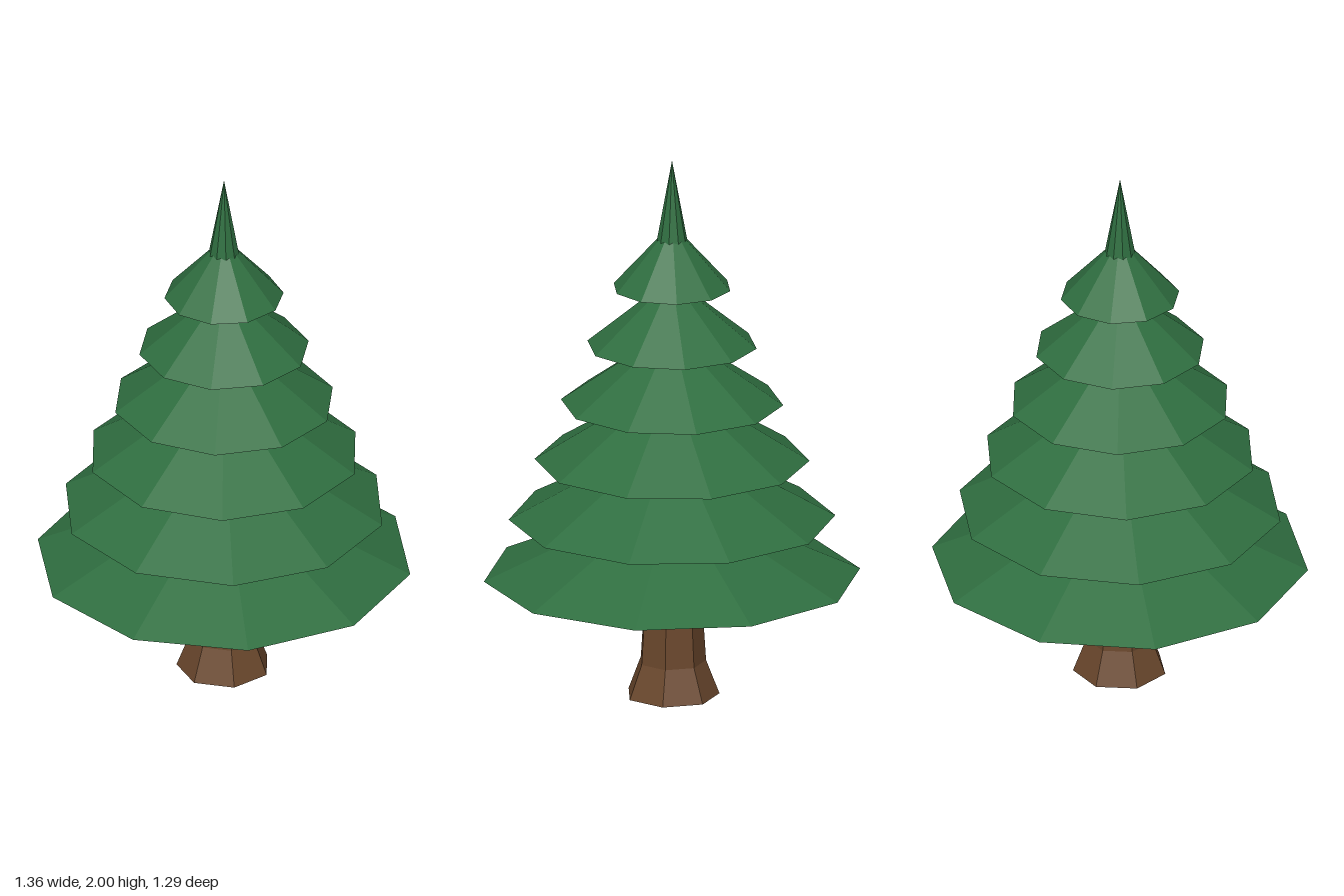
import * as THREE from 'three';

const leaf = new THREE.MeshStandardMaterial({ color: 0x2f6e40, flatShading: true });
leaf.name = 'pine green';
const bark = new THREE.MeshStandardMaterial({ color: 0x6b482d, flatShading: true });
bark.name = 'bark brown';

// Faceted frustum from y0 to y1, with its first corner on +x, turned by twist towards +z
function frustum(name, material, sides, r0, y0, r1, y1, twist = 0, open = false) {
  const geometry = new THREE.CylinderGeometry(r1, r0, y1 - y0, sides, 1, open);
  const mesh = new THREE.Mesh(geometry, material);
  mesh.name = name;
  mesh.position.y = (y0 + y1) / 2;
  mesh.rotation.y = Math.PI / 2 - twist;
  return mesh;
}

export function createModel() {
  const tree = new THREE.Group();
  tree.name = 'pineTree';

  // Seven-sided trunk with a flared foot
  const trunk = new THREE.Group();
  trunk.name = 'trunk';
  const profile = [[0, 0], [0.17, 0], [0.122, 0.125], [0.098, 0.5], [0, 0.5]];
  const trunkMesh = new THREE.Mesh(
    new THREE.LatheGeometry(profile.map(([r, y]) => new THREE.Vector2(r, y)), 7), bark);
  trunkMesh.name = 'flaredTrunk';
  trunkMesh.rotation.y = Math.PI / 2;
  trunk.add(trunkMesh);
  tree.add(trunk);

  // Six skirts of branches, each smaller and turned a little further
  const foliage = new THREE.Group();
  foliage.name = 'foliage';
  const tops = [[0.175, 0.675], [0.15, 0.9], [0.125, 1.105], [0.1, 1.3], [0.075, 1.5], [0.05, 1.708]];
  tops.forEach(([topRadius, topY], i) => {
    foliage.add(frustum(`branchTier${i + 1}`, leaf, 10,
      0.678 - 0.0928 * i, 0.445 + 0.216 * i, topRadius, topY, 0.07 * i));
  });

  // Green core seen between the upper tiers, and the pointed tip
  foliage.add(frustum('core', leaf, 10, 0.165, 0.7, 0.046, 1.7));
  foliage.add(frustum('spire', leaf, 10, 0.055, 1.7, 0, 2));
  tree.add(foliage);
  return tree;
}
